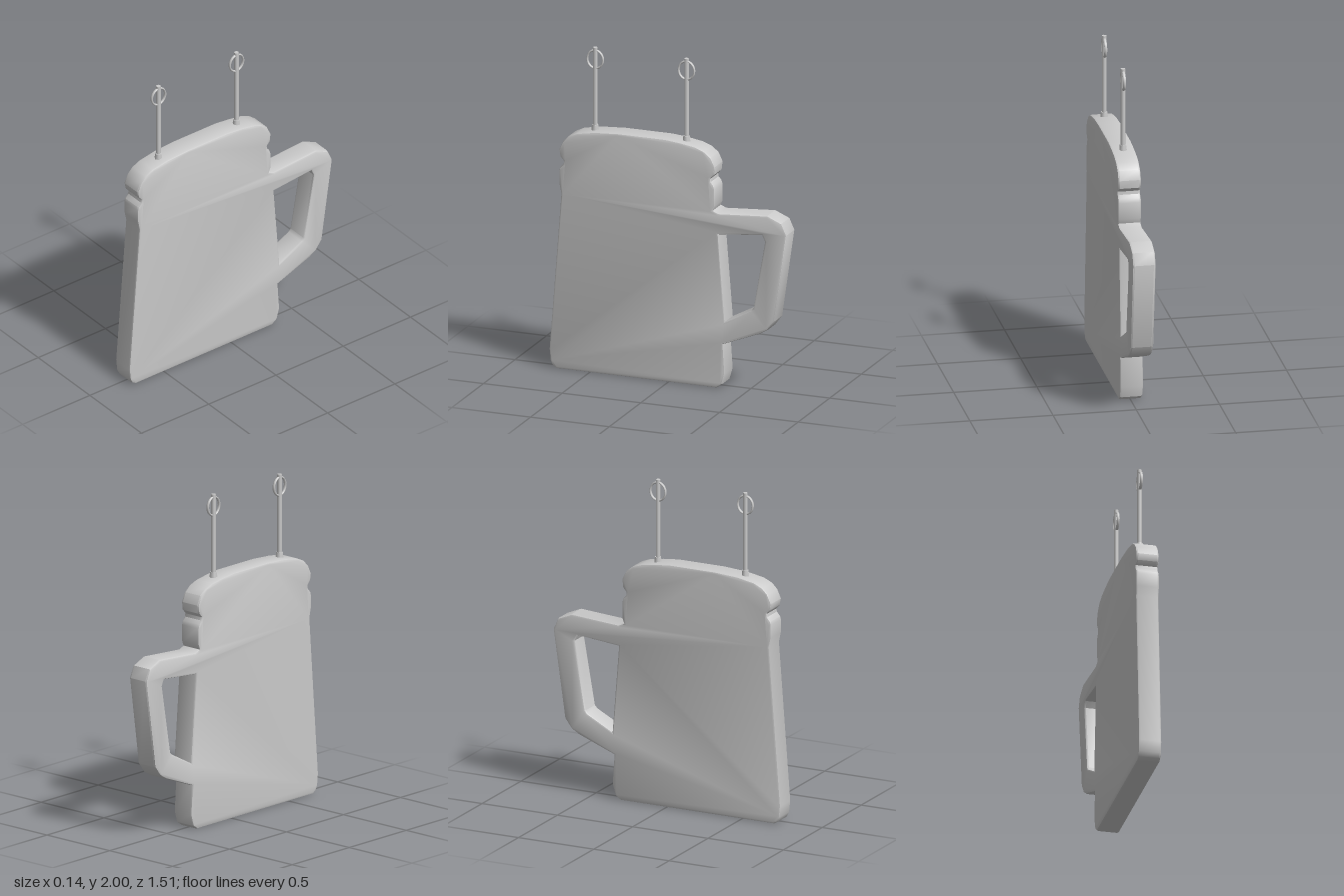
import * as THREE from 'three';
import { toCreasedNormals } from 'three/addons/utils/BufferGeometryUtils.js';

const material = new THREE.MeshStandardMaterial({ color: 0xcccccc });

function addMesh(parent, name, geometry, y = 0) {
  const mesh = new THREE.Mesh(geometry, material);
  mesh.name = name;
  mesh.position.y = y;
  parent.add(mesh);
  return mesh;
}

const toPoints = (pairs) => pairs.map(([x, y]) => new THREE.Vector2(x, y));

// Flat jar silhouette with its handle, extruded with a soft edge
function jarGeometry() {
  const outline = [
    // base and right wall up to the handle
    [-0.71, 0.005], [0.305, 0.005], [0.34, 0.03], [0.36, 0.1], [0.348, 0.28],
    // handle, outside
    [0.58, 0.37], [0.63, 0.4], [0.675, 0.46], [0.752, 1.0], [0.72, 1.07], [0.63, 1.108], [0.32, 1.086],
    // rim and neck groove
    [0.284, 1.1], [0.296, 1.13], [0.296, 1.23], [0.288, 1.255], [0.27, 1.275], [0.268, 1.295], [0.29, 1.32],
    // domed lid
    [0.296, 1.37], [0.27, 1.425], [0.225, 1.46], [0.17, 1.48], [0.08, 1.495], [-0.02, 1.505],
    [-0.32, 1.505], [-0.47, 1.495], [-0.58, 1.475], [-0.635, 1.45], [-0.67, 1.415], [-0.695, 1.36],
    // left groove, neck and wall
    [-0.688, 1.32], [-0.666, 1.295], [-0.668, 1.275], [-0.69, 1.25], [-0.695, 1.23],
    [-0.695, 1.15], [-0.682, 1.09], [-0.757, 0.12], [-0.75, 0.05], [-0.735, 0.02],
  ];
  const shape = new THREE.Shape(toPoints(outline));
  // opening between handle and wall
  shape.holes.push(new THREE.Path(toPoints([
    [0.36, 0.42], [0.318, 0.955], [0.595, 0.982], [0.613, 0.945], [0.54, 0.525], [0.525, 0.508],
  ])));
  const bevel = 0.013;
  const geometry = new THREE.ExtrudeGeometry(shape, {
    depth: 0.14 - 2 * bevel, bevelEnabled: true, bevelThickness: bevel,
    bevelSize: bevel, bevelOffset: -bevel, bevelSegments: 2,
  });
  geometry.translate(0, 0, bevel - 0.07);
  geometry.rotateY(Math.PI / 2);
  return toCreasedNormals(geometry, 0.6);
}

// Hanging pin: collar, rod and flattened eye ring
function hangingPin(name, z) {
  const pin = new THREE.Group();
  pin.name = name;
  pin.position.z = z;
  addMesh(pin, 'collar', new THREE.CylinderGeometry(0.02, 0.026, 0.045, 6), 1.5);
  addMesh(pin, 'rod', new THREE.CylinderGeometry(0.014, 0.014, 0.51, 8), 1.745);
  const ring = new THREE.TorusGeometry(0.05, 0.006, 6, 20);
  ring.scale(1, 1.12, 1.6);
  ring.rotateY(Math.PI / 2);
  addMesh(pin, 'eyeRing', ring, 1.926);
  return pin;
}

export function createModel() {
  const model = new THREE.Group();
  model.name = 'hangingJarSign';
  addMesh(model, 'jarBody', jarGeometry());
  model.add(hangingPin('frontPin', 0.49), hangingPin('backPin', -0.09));
  return model;
}
